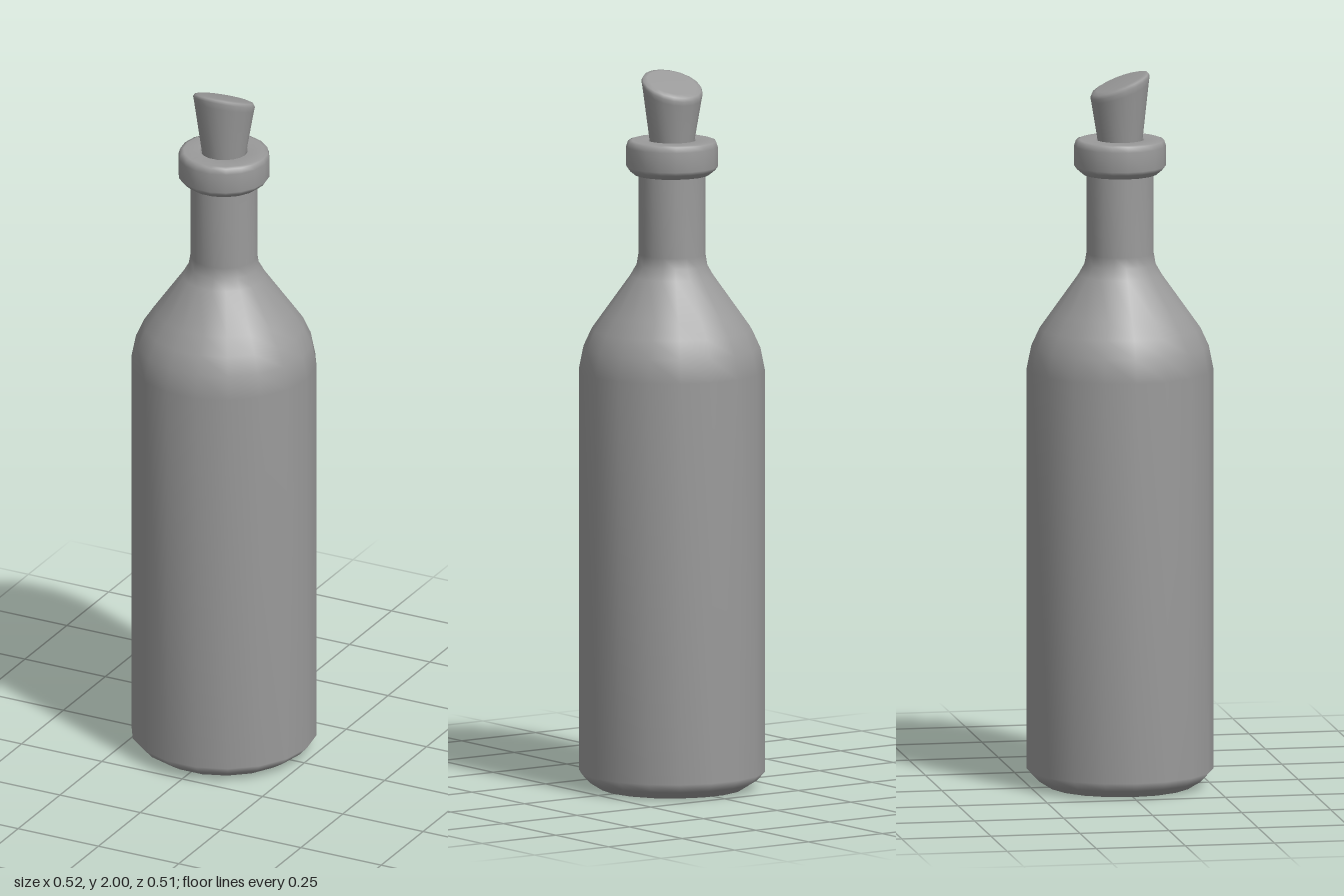
import * as THREE from 'three';
import { mergeVertices } from 'three/addons/utils/BufferGeometryUtils.js';

const SIDES = 18;

// Revolve [radius, height] pairs, listed so that the outside faces outward
function revolve(profile) {
  const points = profile.map(([r, y]) => new THREE.Vector2(r, y));
  return new THREE.LatheGeometry(points, SIDES, Math.PI / 2);
}

// Weld the seam and recompute smooth normals
function smooth(geometry) {
  geometry.deleteAttribute('normal');
  geometry.deleteAttribute('uv');
  const welded = mergeVertices(geometry, 1e-5);
  welded.computeVertexNormals();
  return welded;
}

export function createModel() {
  const group = new THREE.Group();
  group.name = 'bottle';
  const material = new THREE.MeshStandardMaterial({ color: 0x9a9a9a, side: THREE.DoubleSide });

  const add = (name, geometry) => {
    const mesh = new THREE.Mesh(geometry, material);
    mesh.name = name;
    group.add(mesh);
  };

  // Body with hollowed base, sloping shoulder and straight neck
  add('bottleBody', smooth(revolve([
    [0, 0.06], [0.08, 0.052], [0.13, 0.025], [0.165, 0.004], [0.2, 0.003],
    [0.235, 0.025], [0.258, 0.05], [0.258, 1.17],
    [0.245, 1.235], [0.222, 1.285], [0.19, 1.33], [0.115, 1.435],
    [0.098, 1.465], [0.093, 1.495], [0.093, 1.74],
  ])));

  // Thick lip around the mouth, turning down inside the neck
  add('lip', smooth(revolve([
    [0.09, 1.715], [0.104, 1.717], [0.12, 1.73], [0.127, 1.74],
    [0.127, 1.795], [0.122, 1.81], [0.112, 1.813], [0.068, 1.813], [0.06, 1.805], [0.06, 1.74],
  ])));

  // Tapered stopper whose round top tilts down toward the back
  const stopper = revolve([
    [0, 1.74], [0.054, 1.74], [0.062, 1.81], [0.084, 1.945],
    [0.087, 1.96], [0.083, 1.969], [0.07, 1.973], [0, 1.973],
  ]);
  const p = stopper.attributes.position;
  for (let i = 0; i < p.count; i++) {
    const t = THREE.MathUtils.clamp((p.getY(i) - 1.81) / 0.15, 0, 1);
    const z = p.getZ(i) * (1 - 0.06 * t);
    p.setZ(i, z);
    p.setY(i, p.getY(i) + 0.38 * t * z);
  }
  add('stopper', smooth(stopper));

  return group;
}
